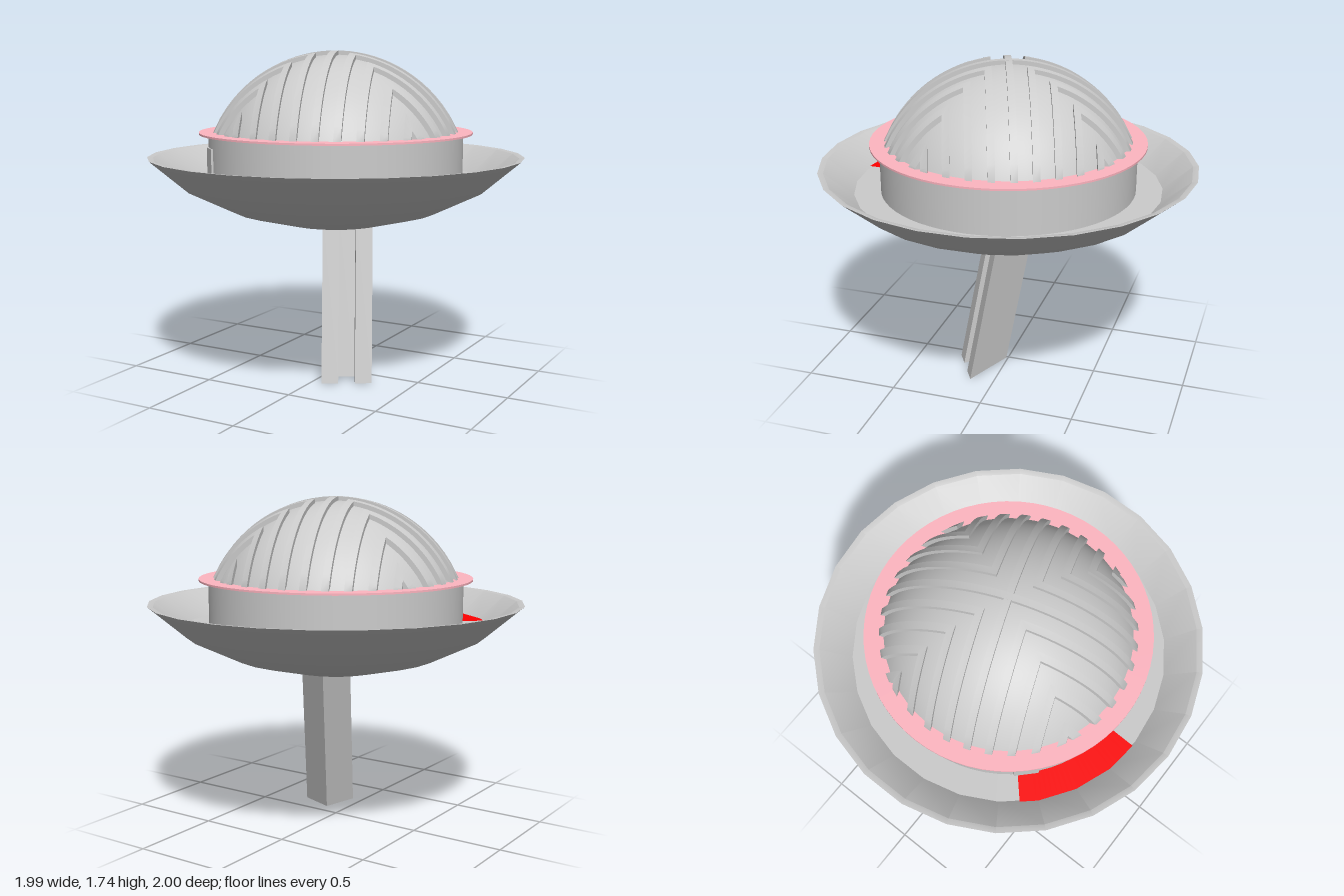
import * as THREE from 'three';
import { toCreasedNormals } from 'three/addons/utils/BufferGeometryUtils.js';

const DOME_Y = 1.035, DOME_R = 0.688, RIB_R = 0.71, EDGE_R = 0.65, FLANGE_Y = 1.315;
const TWIST = THREE.MathUtils.degToRad(20);

function mesh(name, geometry, color = 0xcccccc, side = THREE.FrontSide) {
  const m = new THREE.Mesh(geometry, new THREE.MeshStandardMaterial({ color, side }));
  m.name = name;
  return m;
}

const lathe = (pts, segments, crease = 0.6) => toCreasedNormals(
  new THREE.LatheGeometry(pts.map(p => new THREE.Vector2(...p)), segments), crease);

const sphereY = (u, v, r) => DOME_Y + Math.sqrt(Math.max(0, r * r - u * u - v * v));
const rimAt = e => Math.sqrt(EDGE_R * EDGE_R - e * e);

// Edge line of a straight rib crossing the whole dome
function straightEdge(e, n = 32) {
  const end = rimAt(e), pts = [];
  for (let i = 0; i <= n; i++) pts.push([e, end - 2 * end * i / n]);
  return pts;
}

// Edge line of a chevron: in from the rim, round a square corner, out to the rim
function chevronEdge(e, n = 14) {
  const end = rimAt(e), pts = [];
  for (let i = 0; i <= n; i++) pts.push([e, end + (e - end) * i / n]);
  for (let i = 1; i <= n; i++) pts.push([e + (end - e) * i / n, e]);
  return pts;
}

// Raised bar between two edge lines, following the dome
function ribGeometry(inner, outer) {
  const pos = [];
  const low = ([u, v]) => [u, Math.max(FLANGE_Y, sphereY(u, v, DOME_R) - 0.01), v];
  const high = ([u, v]) => [u, sphereY(u, v, RIB_R), v];
  const sections = inner.map((p, i) => [low(p), high(p), high(outer[i]), low(outer[i])]);
  const quad = (a, b, c, d) => pos.push(...a, ...b, ...c, ...a, ...c, ...d);
  for (let i = 0; i < sections.length - 1; i++) {
    const s = sections[i], t = sections[i + 1];
    for (let j = 0; j < 3; j++) quad(s[j], s[j + 1], t[j + 1], t[j]);
  }
  const s = sections[0], t = sections[sections.length - 1];
  quad(s[0], s[3], s[2], s[1]);
  quad(t[0], t[1], t[2], t[3]);
  const g = new THREE.BufferGeometry();
  g.setAttribute('position', new THREE.Float32BufferAttribute(pos, 3));
  return toCreasedNormals(g, 0.5);
}

function createDome() {
  const dome = new THREE.Group();
  dome.name = 'ribbedDome';
  const cap = Math.acos((FLANGE_Y - DOME_Y) / DOME_R);
  const shell = mesh('domeShell', new THREE.SphereGeometry(DOME_R, 64, 24, 0, Math.PI * 2, 0, cap));
  shell.position.y = DOME_Y;
  dome.add(shell);

  const half = 0.018;
  const addRib = (name, geometry, turn) => {
    const rib = mesh(name, geometry);
    rib.rotation.y = turn * Math.PI / 2;
    dome.add(rib);
  };
  // Centre cross
  const bar = ribGeometry(straightEdge(-half), straightEdge(half));
  for (let k = 0; k < 2; k++) addRib('crossRib', bar, k);
  // Nested chevrons in the four quarters
  for (let i = 1; i <= 4; i++) {
    const a = 0.107 * i;
    const g = ribGeometry(chevronEdge(a - half), chevronEdge(a + half));
    for (let k = 0; k < 4; k++) addRib('chevronRib', g, k);
  }
  dome.rotation.y = TWIST;
  return dome;
}

// Leaning triangular post with a channel along its front right face
function createLeg() {
  const section = [[0.06, 0], [0.06, 0.265], [0.137, 0.22], [0.097, 0.151],
    [0.173, 0.106], [0.213, 0.175], [0.29, 0.13]];
  const shape = new THREE.Shape(section.map(([x, z]) => new THREE.Vector2(x, -z)));
  const g = new THREE.ExtrudeGeometry(shape, { depth: 0.87, bevelEnabled: false });
  g.rotateX(-Math.PI / 2);
  const p = g.attributes.position;
  for (let i = 0; i < p.count; i++) {
    const x = p.getX(i), z = p.getZ(i);
    let y = p.getY(i);
    // The back corner of the foot is slightly raised
    if (y < 0.01) y = Math.max(0, 0.03 * (1 - ((x - 0.06) * 0.5 + z * 0.862) / 0.229));
    p.setXYZ(i, x - 0.085 * y, y, z - 0.17 * y);
  }
  g.computeVertexNormals();
  return mesh('leg', g);
}

export function createModel() {
  const model = new THREE.Group();
  model.name = 'ribbedDomeOnDish';

  // Dish with a thin rim
  model.add(mesh('dish', lathe([[0, 0.82], [0.27, 0.83], [0.55, 0.9], [0.8, 1.02], [1, 1.19],
    [0.97, 1.187], [0.8, 1.045]], 26)));

  // Flat floor inside the dish
  const floor = mesh('dishFloor', new THREE.CircleGeometry(0.84, 64), 0xcccccc, THREE.DoubleSide);
  floor.rotation.x = -Math.PI / 2;
  floor.position.y = 1.06;
  model.add(floor);

  // Red marked sector of the floor
  const deg = Math.PI / 180;
  const pad = mesh('redFloorPad',
    new THREE.RingGeometry(0.675, 0.84, 24, 1, -138 * deg, 46 * deg), 0xff0000, THREE.DoubleSide);
  pad.rotation.x = -Math.PI / 2;
  pad.position.y = 1.066;
  model.add(pad);

  // Drum wall and the pink flange on top of it
  const wall = mesh('drumWall',
    new THREE.CylinderGeometry(0.677, 0.677, 0.255, 64, 1, true), 0xcccccc, THREE.DoubleSide);
  wall.position.y = 1.1875;
  model.add(wall);
  model.add(mesh('pinkFlange', lathe([[0.6, 1.31], [0.727, 1.31], [0.727, 1.32], [0.6, 1.32]], 64),
    0xffb6c1));

  // Small door in the drum
  const door = mesh('drumDoor', new THREE.BoxGeometry(0.125, 0.18, 0.02));
  door.position.set(-0.472, 1.155, 0.482);
  door.rotation.y = Math.atan2(-0.472, 0.482);
  model.add(door);

  model.add(createDome(), createLeg());
  return model;
}
